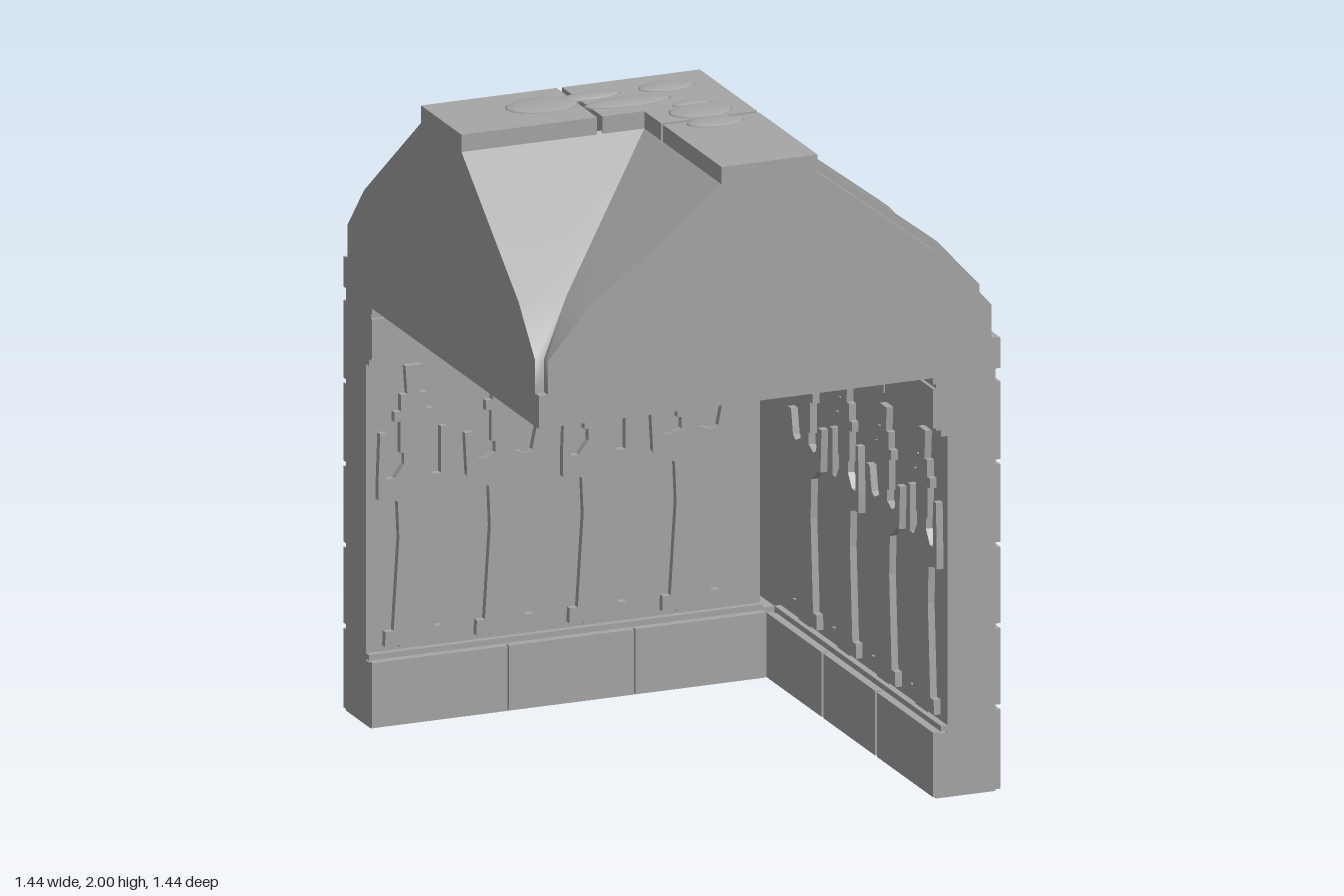
import * as THREE from 'three';

const stone = new THREE.MeshStandardMaterial({ color: 0xa6a6a6, side: THREE.DoubleSide });
stone.name = 'stone';

function add(parent, name, geometry) {
  const mesh = new THREE.Mesh(geometry, stone);
  mesh.name = name;
  parent.add(mesh);
  return mesh;
}

function block(parent, name, x0, x1, y0, y1, z0, z1) {
  const mesh = add(parent, name, new THREE.BoxGeometry(x1 - x0, y1 - y0, z1 - z0));
  mesh.position.set((x0 + x1) / 2, (y0 + y1) / 2, (z0 + z1) / 2);
  return mesh;
}

// A wall is built facing -z: u runs along it, d is the distance outwards.
const wallBlock = (g, name, u0, u1, y0, y1, d0, d1) => block(g, name, u0, u1, y0, y1, -d1, -d0);

// One course of bricks, separated by narrow joints
function course(g, name, u0, u1, joints, y0, y1, d0, d1) {
  const cuts = [u0, ...[...joints].filter(j => j > u0 && j < u1).sort((a, b) => a - b), u1];
  for (let i = 0; i < cuts.length - 1; i++) {
    const a = cuts[i] + (i ? 0.007 : 0);
    const b = cuts[i + 1] - (i < cuts.length - 2 ? 0.007 : 0);
    wallBlock(g, name, a, b, y0, y1, d0, d1);
  }
}

// Relief figure with raised arms and a stepped headdress
function figure(g, u, wide) {
  const arms = wide
    ? [[0.05, 0.68], [0.1, 0.72], [0.118, 0.72], [0.125, 0.85], [0.1, 0.85], [0.085, 0.775], [0.065, 0.765]]
    : [[0.05, 0.67], [0.075, 0.68], [0.11, 0.68], [0.11, 0.74], [0.105, 0.88], [0.085, 0.88], [0.085, 0.74], [0.06, 0.74]];
  const top = wide ? 1.06 : 1.075;
  const half = [[0.045, 0.23], [0.045, 0.235], [0.09, 0.235], [0.088, 0.28], [0.063, 0.28], [0.045, 0.56],
    ...arms, [0.03, 0.78], [0.03, 0.815], [0.042, 0.815], [0.042, 0.91], [0.06, 0.91], [0.06, 0.94],
    [0.04, 0.94], [0.04, 0.99], [0.02, 0.99], [0.026, top]];
  const outline = [...half, ...half.map(([x, y]) => [-x, y]).reverse()];
  const shape = new THREE.Shape(outline.map(([x, y]) => new THREE.Vector2(x, y)));
  const mesh = add(g, 'reliefFigure', new THREE.ExtrudeGeometry(shape, { depth: 0.022, bevelEnabled: false }));
  mesh.position.set(u, 0, -0.556);
}

const rows = [
  [0.005, 0.245, [0.28, -0.155]],
  [0.26, 0.49, [0.54, 0.065, -0.37]],
  [0.505, 0.735, [0.265, -0.095, -0.56]],
  [0.75, 0.985, [0.53, 0.06, -0.36]],
  [1.0, 1.235, [0.24, -0.22]],
];

function wall(name, isBack) {
  const g = new THREE.Group();
  g.name = name;
  const s = isBack ? 1 : -1;
  const a = isBack ? -0.72 : -0.51, b = isBack ? 0.51 : 0.72;
  const outerA = -0.72, outerB = isBack ? 0.5 : 0.72;
  wallBlock(g, 'wallCore', -0.72, b, 0, 1.27, 0.555, 0.705);

  // outer masonry
  const shift = z => (isBack ? -z - 0.08 : z);
  for (const [y0, y1, joints] of rows) {
    course(g, 'outerBrick', outerA, outerB, joints.map(shift), y0, y1, 0.7, 0.72);
  }
  course(g, 'eaveBrick', -0.72, 0.72, [0.375, 0, -0.375], 1.275, 1.367, 0.7, 0.72);

  // inner plinth, frieze course and thin bands
  wallBlock(g, 'plinthCore', a, b, 0, 0.195, 0.52, 0.56);
  course(g, 'plinthBrick', a, b, [-0.3 * s, 0.095 * s], 0.005, 0.2, 0.51, 0.53);
  wallBlock(g, 'lowerBand', a, b, 0.2, 0.217, 0.535, 0.56);
  wallBlock(g, 'upperBand', a, b, 1.09, 1.11, 0.535, 0.56);
  wallBlock(g, 'friezeCore', a, b, 1.11, 1.27, 0.52, 0.56);
  course(g, 'friezeBrick', a, b, [-0.36 * s, 0.055 * s], 1.117, 1.237, 0.51, 0.53);
  wallBlock(g, 'lintelBand', a, b, 1.25, 1.27, 0.51, 0.53);
  [-0.58, -0.295, -0.005, 0.285].forEach((u, i) => figure(g, u * s, i % 2 === 1));

  // narrow slit beside the corner: solid only below and above it
  if (isBack) {
    wallBlock(g, 'slitSill', 0.5, 0.56, 0, 0.2, 0.555, 0.72);
    wallBlock(g, 'slitHead', 0.5, 0.56, 1.11, 1.27, 0.555, 0.72);
    wallBlock(g, 'cornerPost', 0.555, 0.708, 0, 1.27, 0.6, 0.72);
  } else {
    g.rotation.y = -Math.PI / 2;
  }
  return g;
}

// Smooth skin through cross-sections; the last cell can be left open
function skin(sections, openLast = false, swap = false) {
  const n = sections[0].length, index = [];
  const points = sections.flat().flatMap(([x, y, z]) => (swap ? [-z, y, -x] : [x, y, z]));
  for (let r = 0; r < sections.length - 1; r++) {
    for (let i = 0; i < n - 1; i++) {
      if (openLast && r === sections.length - 2 && i === n - 2) continue;
      const p = r * n + i, q = p + n;
      index.push(p, p + 1, q, p + 1, q + 1, q);
    }
  }
  const geo = new THREE.BufferGeometry();
  geo.setAttribute('position', new THREE.Float32BufferAttribute(points, 3));
  geo.setIndex(index);
  geo.computeVertexNormals();
  return geo;
}

function roof() {
  const g = new THREE.Group();
  g.name = 'roof';
  const profile = [[0.14, 1.945], [0.57, 1.61], [0.692, 1.47], [0.692, 1.365]];
  block(g, 'roofBase', -0.72, 0.705, 1.27, 1.37, -0.705, 0.72);

  const at = z => profile.map(([p, y]) => [p, y, z]);
  const hip = [[0.14, 1.945, -0.14], [0.57, 1.61, -0.57], [0.72, 1.37, -0.72], [0.72, 1.37, -0.72]];
  const innerEnd = profile.map(([p, y]) => [-p, y, 0.72]);
  const valley = profile.map(([p, y]) => [-p, y, p]);
  for (const swap of [false, true]) {
    add(g, 'outerSlope', skin([at(0.72), at(0), hip], true, swap));
    add(g, 'innerSlope', skin([innerEnd, valley], false, swap));
  }

  // end gables
  const cap = new THREE.Shape([...profile, ...profile.map(([p, y]) => [-p, y]).reverse()]
    .map(([x, y]) => new THREE.Vector2(x, y)));
  for (const turn of [0, -Math.PI / 2]) {
    const holder = new THREE.Group();
    holder.name = 'gable';
    holder.rotation.y = turn;
    add(holder, 'gableFace', new THREE.ShapeGeometry(cap)).position.z = 0.72;
    g.add(holder);
  }

  // raised ribs down the outer slopes
  const rib = new THREE.Shape([[0.14, 1.94], [0.57, 1.605], [0.69, 1.465], [0.69, 1.367], [0.717, 1.367],
    [0.717, 1.485], [0.585, 1.63], [0.16, 1.955]].map(([x, y]) => new THREE.Vector2(x, y)));
  const ribGeo = new THREE.ExtrudeGeometry(rib, { depth: 0.062, bevelEnabled: false });
  for (const z of [0.15, 0.51]) add(g, 'rib', ribGeo).position.z = z;
  for (const x of [-0.215, -0.577]) {
    const mesh = add(g, 'rib', ribGeo);
    mesh.rotation.y = Math.PI / 2;
    mesh.position.x = x;
  }
  return g;
}

function ridge() {
  const g = new THREE.Group();
  g.name = 'ridge';
  const y0 = 1.938, y1 = 1.99;
  block(g, 'ridgeSlab', -0.72, -0.297, y0, y1, -0.15, 0.15);
  block(g, 'ridgeSlab', -0.28, 0.15, y0, y1, -0.15, 0.15);
  block(g, 'ridgeSlab', -0.15, 0.15, y0, y1, 0.15, 0.274);
  block(g, 'ridgeSlab', -0.15, 0.15, y0, y1, 0.29, 0.72);
  // worn lumps on top: x, z, half width, half depth
  const lumps = [[-0.4, -0.015, 0.115, 0.075], [-0.24, -0.04, 0.1, 0.035], [-0.16, 0.05, 0.14, 0.05],
    [0, -0.04, 0.09, 0.048], [0, 0.14, 0.06, 0.026], [0, 0.21, 0.1, 0.07], [0, 0.32, 0.09, 0.05]];
  for (const [x, z, rx, rz] of lumps) {
    const mesh = add(g, 'ridgeLump', new THREE.SphereGeometry(1, 12, 8));
    mesh.scale.set(rx, 0.011, rz);
    mesh.position.set(x, 1.989, z);
  }
  return g;
}

export function createModel() {
  const model = new THREE.Group();
  model.name = 'cornerPassage';
  model.add(wall('backWall', true), wall('rightWall', false), roof(), ridge());
  return model;
}
